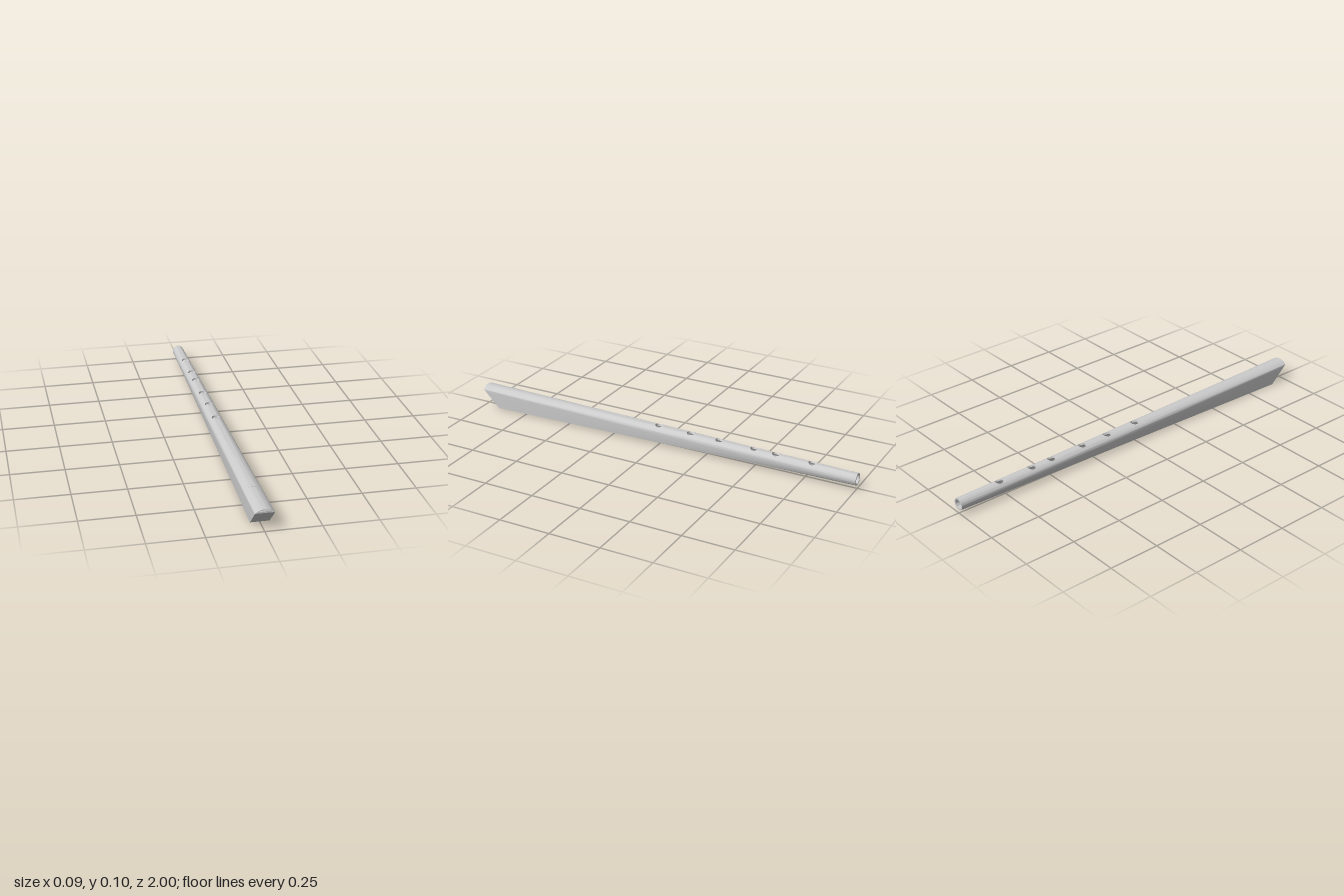
import * as THREE from 'three';
import { mergeGeometries, toCreasedNormals } from 'three/addons/utils/BufferGeometryUtils.js';

const PI = Math.PI, lerp = THREE.MathUtils.lerp;
const BORE = 0.76;            // bore size relative to the outer section
const A = PI / 3;             // half angle of the top strip that carries the holes
const HOLE_R = 0.019, PATCH = 0.04, BORE_END = 0.75;
const HOLES = [-0.78, -0.6, -0.49, -0.31, -0.16, 0.01];

const halfWidth = z => lerp(0.029, 0.043, (z + 1) / 2);
const archY = x => 0.105 - 0.063 + Math.sqrt(0.063 ** 2 - x * x);

// Mouth section: arched top, straight sides, flat base (angle 0 is the top)
function mouthSection(a) {
  a = Math.atan2(Math.sin(a), Math.cos(a));
  const s = Math.sign(a), t = Math.abs(a);
  if (t <= PI / 2) { const x = 0.043 * Math.sin(a); return [x, archY(x)]; }
  if (t <= PI * 0.75) return [s * 0.043, archY(0.043) * (1 - (t - PI / 2) / (PI / 4))];
  return [s * 0.043 * (PI - t) / (PI / 4), 0];
}

// Point on the body: round at the foot, blending to the mouth section
function point(a, z, scale = 1) {
  const k = (z + 1) / 2, m = mouthSection(a), cy = lerp(0.047, 0.05, k);
  const x = lerp(0.029 * Math.sin(a), m[0], k);
  const y = lerp(0.047 + 0.029 * Math.cos(a), m[1], k);
  return new THREE.Vector3(x * scale, cy + (y - cy) * scale, z);
}

// Slanted cut under the mouth
const endZ = a => 1 - 0.09 * Math.max(0, 1 - mouthSection(a)[1] / archY(0.043));

// Grid surface from f(u, v); it faces along dv x du
function grid(nu, nv, f, flip = false) {
  const pos = [], idx = [];
  for (let j = 0; j <= nv; j++) for (let i = 0; i <= nu; i++)
    pos.push(...f(flip ? 1 - i / nu : i / nu, j / nv).toArray());
  for (let j = 0; j < nv; j++) for (let i = 0; i < nu; i++) {
    const a = j * (nu + 1) + i, b = a + nu + 1;
    idx.push(a, b, a + 1, b, b + 1, a + 1);
  }
  const g = new THREE.BufferGeometry();
  g.setAttribute('position', new THREE.Float32BufferAttribute(pos, 3));
  g.setIndex(idx);
  return g;
}

// Angle and z on the rim of a finger hole, and on the square patch around it
function holeRing(zc, u, v) {
  const side = Math.min(3, Math.floor(u * 4)), t = (u * 4 - side) * 2 - 1;
  const [qx, qz] = [[1, t], [-t, 1], [-1, -t], [t, -1]][side];
  const phi = Math.atan2(qz, qx), z = zc + HOLE_R * Math.sin(phi);
  const a = Math.asin(HOLE_R * Math.cos(phi) / halfWidth(z));
  return [lerp(a, A * qx, v), lerp(z, zc + PATCH * qz, v)];
}

// One skin of the tube, pierced by the finger holes
function skin(scale, end, flip) {
  const parts = [grid(48, 8, (u, v) => {
    const a = lerp(A, 2 * PI - A, u);
    return point(a, lerp(-1, end(a), v), scale);
  }, flip)];
  let start = -1;
  for (const zc of [...HOLES, null]) {
    const z0 = start;
    parts.push(grid(16, 4, (u, v) => {
      const a = lerp(-A, A, u);
      return point(a, lerp(z0, zc === null ? end(a) : zc - PATCH, v), scale);
    }, flip));
    if (zc === null) break;
    parts.push(grid(64, 4, (u, v) => point(...holeRing(zc, u, v), scale), !flip));
    start = zc + PATCH;
  }
  return parts;
}

export function createModel() {
  const group = new THREE.Group();
  const material = new THREE.MeshStandardMaterial({ color: 0xcccccc });
  const add = (name, geometry, mat = material) => {
    const mesh = new THREE.Mesh(geometry, mat);
    mesh.name = name;
    group.add(mesh);
    return mesh;
  };
  const crease = parts => toCreasedNormals(mergeGeometries(parts), 0.6);

  add('body', crease(skin(1, endZ, false)));

  // Bore with its closed inner end
  add('bore', crease([
    ...skin(BORE, () => BORE_END, true),
    grid(48, 1, (u, v) => point(u * 2 * PI, BORE_END, BORE * (1 - v)), true),
  ]));

  add('footRim', crease([grid(72, 1, (u, v) => point(u * 2 * PI, -1, lerp(BORE, 1, v)))]));

  add('fingerHoleWalls', crease(HOLES.map(zc =>
    grid(64, 2, (u, v) => point(...holeRing(zc, u, 0), lerp(1, BORE, v))))));

  // Slanted face below the mouth
  add('beakFace', crease([grid(18, 2, (u, v) => {
    const a = lerp(PI / 2, PI, u);
    return point(a, endZ(a)).lerp(point(-a, endZ(a)), v);
  })]));

  // Mouth lip with a crescent slit, and the windway behind it
  const lip = new THREE.Shape(), slit = [];
  for (let i = 0; i <= 32; i++) {
    const p = point(lerp(PI / 2, -PI / 2, i / 32), 1);
    i ? lip.lineTo(p.x, p.y) : lip.moveTo(p.x, p.y);
  }
  for (let i = 0; i < 32; i++) {
    const top = i < 16, t = top ? 1 - i / 8 : (i - 16) / 8 - 1;
    slit.push(new THREE.Vector2(0.036 * t, top ? 0.1 - 0.0085 * t * t : 0.096 - 0.0045 * t * t));
  }
  lip.holes.push(new THREE.Path(slit));
  add('mouthLip', new THREE.ShapeGeometry(lip)).position.z = 1;

  const inside = material.clone();
  inside.side = THREE.BackSide;
  add('windway', new THREE.ExtrudeGeometry(new THREE.Shape(slit),
    { depth: 0.1, bevelEnabled: false }), inside).position.z = 0.9;

  // Low sounding edge across the top
  const edge = (u, v) => point(lerp(-0.5, 0.5, u), lerp(0.73, 0.78, v), lerp(1, 1.012, v));
  add('soundingEdge', crease([
    grid(12, 1, edge),
    grid(12, 1, (u, v) => point(lerp(-0.5, 0.5, u), 0.78, lerp(1.012, 1, v))),
  ]));

  return group;
}
